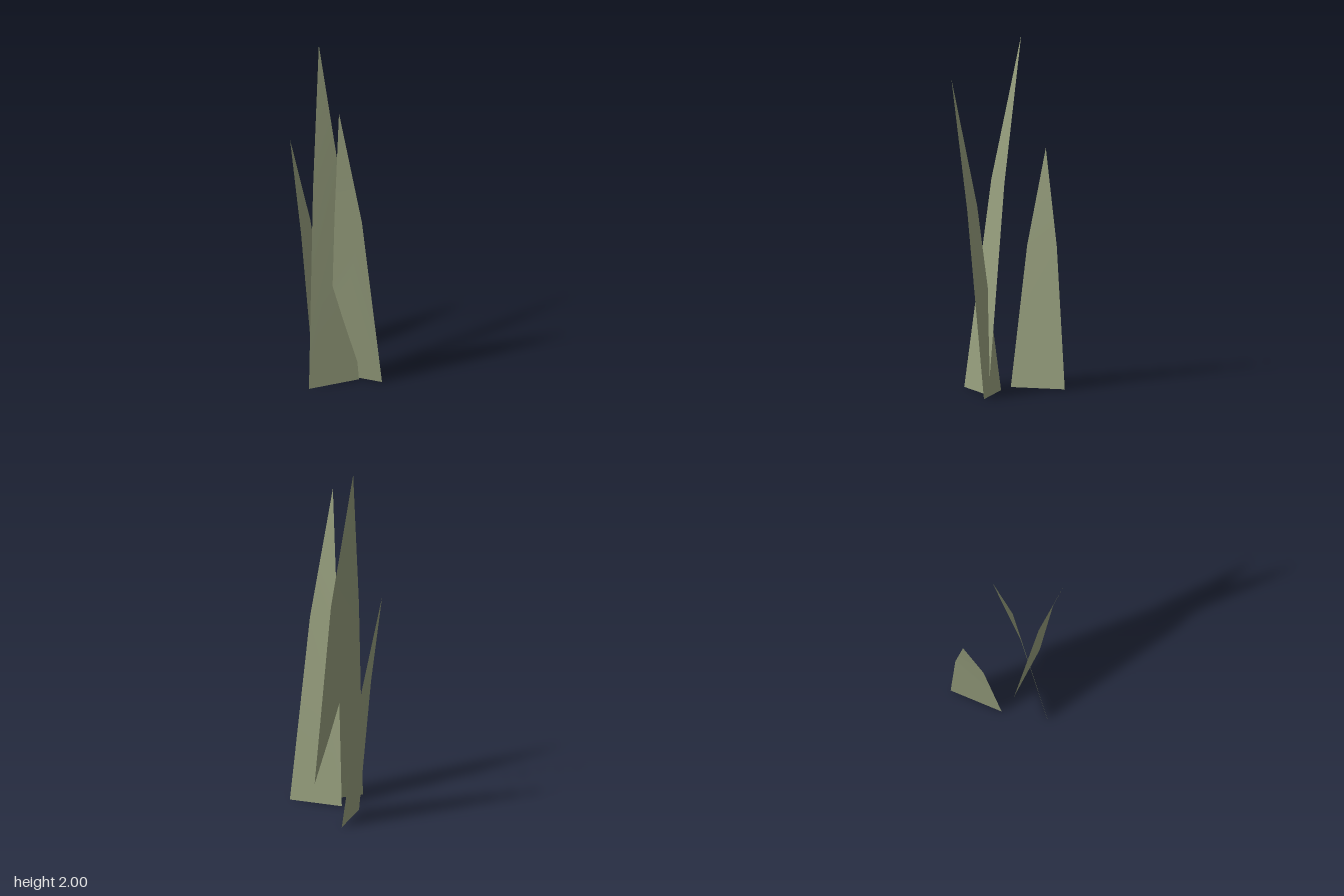
import * as THREE from 'three';

const oliveGrass = new THREE.MeshStandardMaterial({ color: 0x959d7c, side: THREE.DoubleSide });
oliveGrass.name = 'oliveGrass';

// Each blade: base edge, bend edge, tip (left and right points per edge)
const blades = [
  { name: 'tallBlade',
    base: [[-0.2, 0, 0.15], [0.1, 0, 0.185]],
    bend: [[-0.107, 1.18, 0.03], [0.06, 1.18, 0.052]],
    tip: [0.002, 2, -0.098] },
  { name: 'frontBlade',
    base: [[0, 0, 0.035], [0.196, 0, 0.277]],
    bend: [[-0.045, 1.05, 0.165], [0.056, 1.05, 0.297]],
    tip: [-0.095, 1.78, 0.305] },
  { name: 'backBlade',
    base: [[-0.054, 0, -0.065], [0.175, 0, -0.275]],
    bend: [[-0.065, 0.79, -0.181], [0.06, 0.79, -0.297]],
    tip: [-0.066, 1.33, -0.306] },
];

// Single-sheet blade: a tapering quad topped by a pointed triangle
function makeBlade({ name, base, bend, tip }) {
  const geometry = new THREE.BufferGeometry();
  const points = [...base, ...bend, tip].flat();
  geometry.setAttribute('position', new THREE.Float32BufferAttribute(points, 3));
  geometry.setIndex([0, 1, 3, 0, 3, 2, 2, 3, 4]);
  geometry.computeVertexNormals();
  const mesh = new THREE.Mesh(geometry, oliveGrass);
  mesh.name = name;
  return mesh;
}

export function createModel() {
  const group = new THREE.Group();
  group.name = 'grassTuft';
  for (const blade of blades) group.add(makeBlade(blade));
  return group;
}
